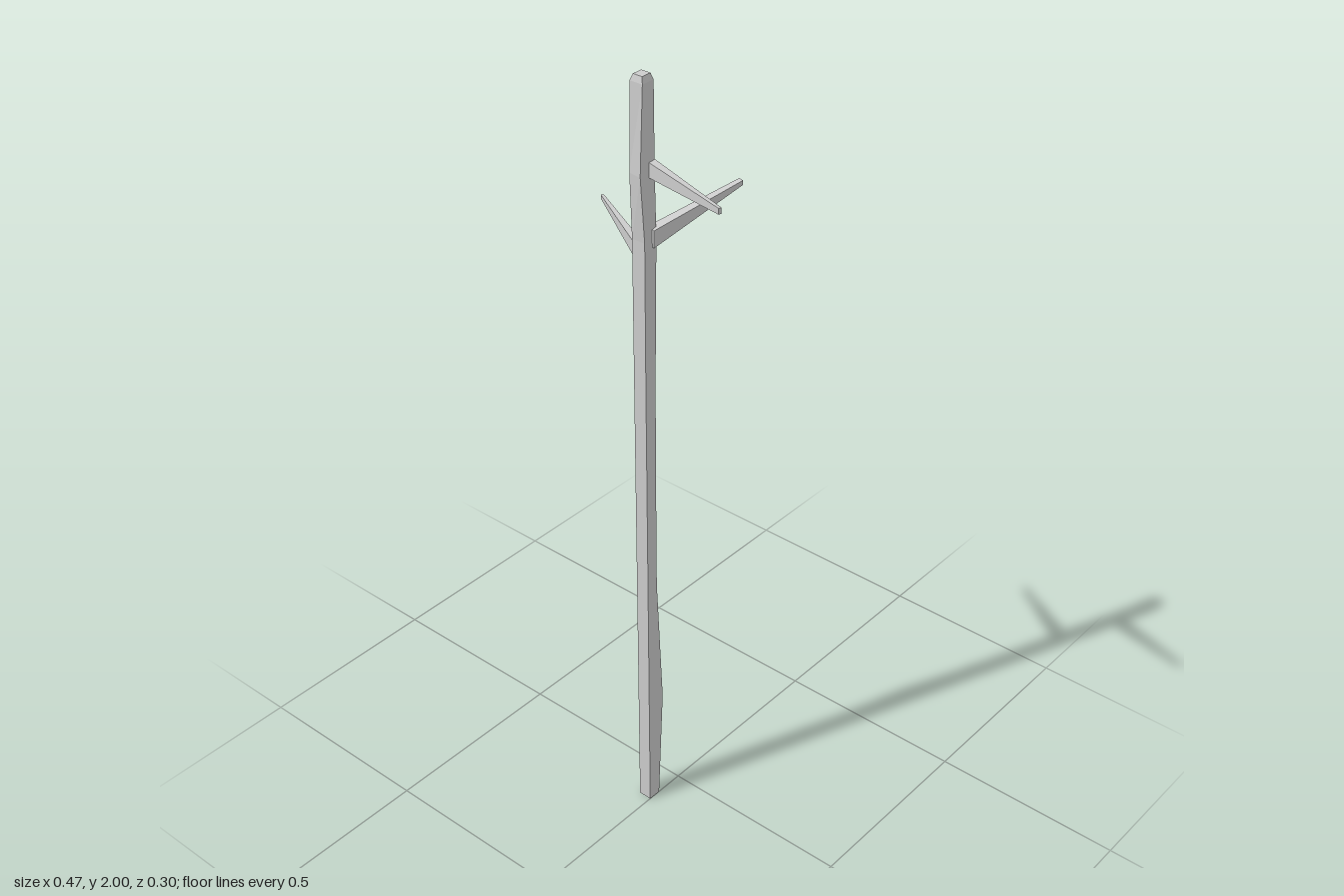
import * as THREE from 'three';

// Skin a list of four-cornered rings (clockwise seen from the end) and cap both ends
function loft(rings, name) {
  const index = [];
  for (let i = 0; i < rings.length - 1; i++) {
    for (let j = 0; j < 4; j++) {
      const a = i * 4 + j, b = i * 4 + (j + 1) % 4, c = b + 4, d = a + 4;
      index.push(b, a, d, b, d, c);
    }
  }
  const e = (rings.length - 1) * 4;
  index.push(0, 1, 2, 0, 2, 3, e + 3, e + 2, e + 1, e + 3, e + 1, e);
  const indexed = new THREE.BufferGeometry();
  indexed.setAttribute('position', new THREE.Float32BufferAttribute(rings.flat(2), 3));
  indexed.setIndex(index);
  const geometry = indexed.toNonIndexed();
  geometry.computeVertexNormals();
  const mesh = new THREE.Mesh(geometry,
    new THREE.MeshStandardMaterial({ color: 0xcccccc, flatShading: true }));
  mesh.name = name;
  return mesh;
}

// Square trunk section: [left, right, back, front] with an optional inset
function trunkRing([y, left, right, back, front]) {
  return [[left, y, back], [right, y, back], [right, y, front], [left, y, front]];
}

// Tapering four-sided branch; sizes are [width, height] at base and tip
function branch(base, tip, baseSize, tipSize, name) {
  const side = new THREE.Vector3(tip[2] - base[2], 0, base[0] - tip[0]).normalize();
  const ring = (p, [w, h]) => [[-1, 1], [1, 1], [1, -1], [-1, -1]].map(([s, u]) =>
    [p[0] + side.x * s * w / 2, p[1] + u * h / 2, p[2] + side.z * s * w / 2]);
  return loft([ring(base, baseSize), ring(tip, tipSize)], name);
}

export function createModel() {
  const group = new THREE.Group();
  group.name = 'bareTree';

  // Trunk with slightly knocked corners and a bevelled top
  const rings = [
    [0, -0.035, 0, 0.076, 0.111],
    [0.33, -0.035, 0, 0.076, 0.111],
    [0.68, -0.035, 0, 0.079, 0.111],
    [0.95, -0.035, 0, 0.079, 0.111],
    [1.25, -0.035, 0, 0.078, 0.111],
    [1.62, -0.035, 0.001, 0.073, 0.111],
    [1.78, -0.035, 0.001, 0.077, 0.112],
    [1.985, -0.035, 0, 0.077, 0.112],
    [2, -0.029, -0.004, 0.082, 0.108],
  ].map(trunkRing);
  rings[1][1] = [0.009, 0.33, 0.07];    // back left swelling
  rings[3][0] = [-0.043, 0.95, 0.077];  // back right swelling
  rings[6][2] = [0.001, 1.78, 0.123];   // front swelling by the top branch
  rings[6][3] = [-0.033, 1.78, 0.119];
  group.add(loft(rings, 'trunk'));

  // Three bare branches
  group.add(
    branch([-0.012, 1.787, 0.082], [0.235, 1.79, 0.145], [0.02, 0.037], [0.007, 0.014], 'leftBranch'),
    branch([-0.02, 1.586, 0.1], [-0.235, 1.606, -0.014], [0.02, 0.037], [0.007, 0.01], 'rightBranch'),
    branch([-0.005, 1.623, 0.085], [0.055, 1.687, -0.147], [0.026, 0.042], [0.014, 0.011], 'backBranch'),
  );
  return group;
}
